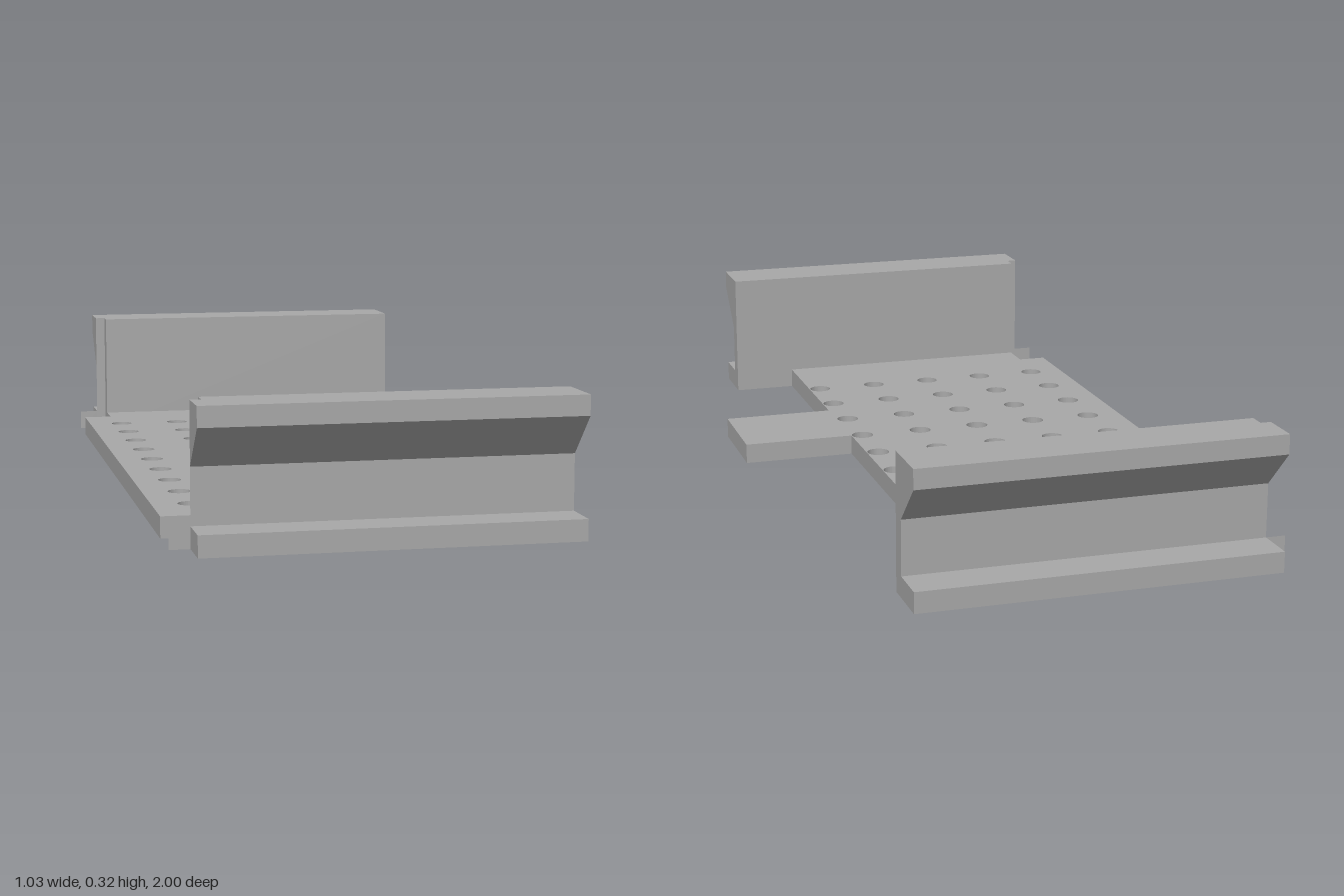
import * as THREE from 'three';

const grey = new THREE.MeshStandardMaterial({ color: 0xa8a8a8 });
const greySheet = new THREE.MeshStandardMaterial({ color: 0xa8a8a8, side: THREE.DoubleSide });
greySheet.name = 'thin grey sheet';
grey.name = 'grey';

const BASE = 0.05; // plate thickness

const toShape = (points) => new THREE.Shape(points.map(([a, b]) => new THREE.Vector2(a, b)));

function addMesh(parent, name, geometry, material = grey) {
  const mesh = new THREE.Mesh(geometry, material);
  mesh.name = name;
  parent.add(mesh);
  return mesh;
}

// Extrudes a (z, y) profile along x, from x0 to x1; side -1 mirrors it to the back.
function alongX(profile, side, x0, x1) {
  const shape = toShape(profile.map(([z, y]) => [-z * side, y]));
  const geo = new THREE.ExtrudeGeometry(shape, { depth: x1 - x0, bevelEnabled: false });
  return geo.rotateY(Math.PI / 2).translate(x0, 0, 0);
}

// Perforated plate with a tab on one long side and notched corners
function buildPlate(parent) {
  const outline = [
    [-0.445, 0.86], [0.234, 0.86], [0.234, 0.408], [0.516, 0.408], [0.516, 0.158],
    [0.234, 0.158], [0.234, -0.86], [-0.445, -0.86], [-0.445, -0.778],
    [-0.518, -0.778], [-0.518, 0.774], [-0.445, 0.774],
  ];
  const shape = toShape(outline.map(([x, z]) => [x, -z]));
  for (let i = 0; i < 5; i++) {
    for (let j = 0; j < 9; j++) {
      const hole = new THREE.Path();
      hole.absarc(-0.43 + i * 0.1585, -(-0.637 + j * 0.1585), 0.028, 0, Math.PI * 2, true);
      shape.holes.push(hole);
    }
  }
  const geo = new THREE.ExtrudeGeometry(shape, { depth: BASE, bevelEnabled: false, curveSegments: 20 });
  addMesh(parent, 'perforatedPlate', geo.rotateX(-Math.PI / 2));
}

// End rail: foot flange, web and flared head, with the web cut back at one end
function buildRail(parent, side) {
  const rail = new THREE.Group();
  rail.name = side > 0 ? 'frontRail' : 'backRail';
  parent.add(rail);

  const foot = [[0.9, 0], [1, 0], [1, BASE], [0.9, BASE]];
  const head = [[0.9, 0.18], [1, 0.278], [1, 0.325], [0.9, 0.325]];
  const full = [
    [0.86, 0], [1, 0], [1, BASE], [0.9, BASE],
    [0.9, 0.18], [1, 0.278], [1, 0.325], [0.86, 0.325],
  ];
  addMesh(rail, 'railBody', alongX(full, side, -0.445, 0.395));
  addMesh(rail, 'footEnd', alongX(foot, side, -0.47, -0.445));
  addMesh(rail, 'headEnd', alongX(head, side, -0.47, -0.445));

  // Thin fins left along the outer web plane
  const web = addMesh(rail, 'webFin', new THREE.PlaneGeometry(0.025, 0.13), greySheet);
  web.position.set(-0.4575, 0.115, 0.9 * side);
  const low = addMesh(rail, 'footFin', new THREE.PlaneGeometry(0.048, BASE), greySheet);
  low.position.set(-0.494, BASE / 2, 0.9 * side);
}

export function createModel() {
  const model = new THREE.Group();
  model.name = 'railedPlate';
  buildPlate(model);
  for (const side of [1, -1]) buildRail(model, side);
  return model;
}
